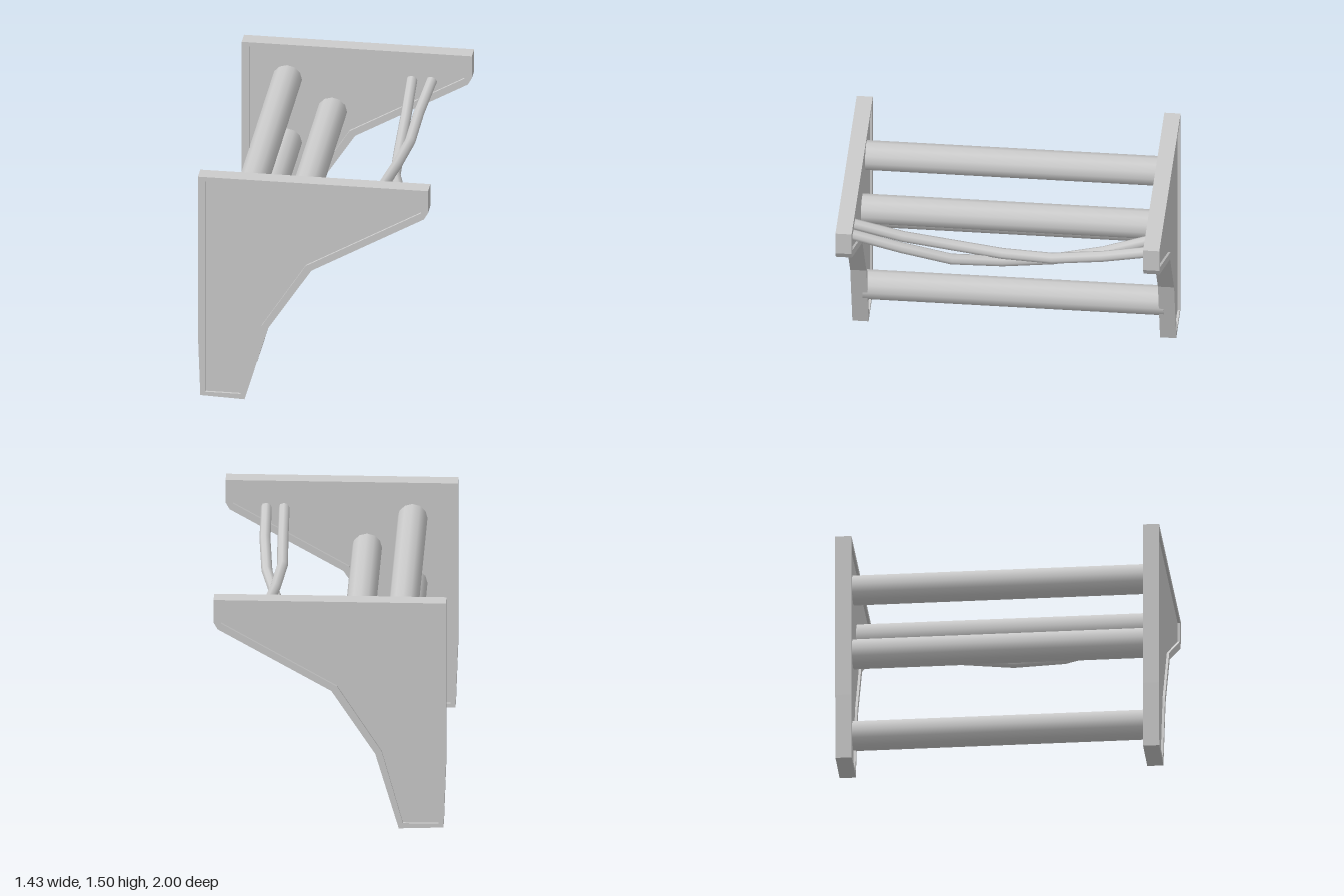
import * as THREE from 'three';

const material = new THREE.MeshStandardMaterial({ color: 0xcccccc });

// Outline of a side plate and of its sunken panel
const OUTER = [[-0.715, 1.505], [-0.715, 0.43], [-0.7, 0.01], [-0.425, 0], [-0.28, 0.495],
  [-0.01, 0.91], [0.69, 1.31], [0.715, 1.355], [0.715, 1.505]];
const INNER = [[-0.67, 1.475], [-0.67, 0.035], [-0.45, 0.035], [-0.32, 0.51],
  [-0.045, 0.94], [0.67, 1.35], [0.67, 1.475]];

const toPoints = (list) => list.map(([x, y]) => new THREE.Vector2(x, y));

function addMesh(parent, name, geometry) {
  const mesh = new THREE.Mesh(geometry, material);
  mesh.name = name;
  parent.add(mesh);
  return mesh;
}

function slab(shape, depth) {
  const geometry = new THREE.ExtrudeGeometry(shape, { depth, bevelEnabled: false });
  return geometry.translate(0, 0, -depth / 2);
}

// Raised rim around a panel that is sunken on both faces
function sidePlate(name, z) {
  const plate = new THREE.Group();
  plate.name = name;
  const rim = new THREE.Shape(toPoints(OUTER));
  rim.holes.push(new THREE.Path(toPoints(INNER)));
  addMesh(plate, 'rim', slab(rim, 0.1));
  addMesh(plate, 'panel', slab(new THREE.Shape(toPoints(INNER)), 0.07));
  plate.position.z = z;
  return plate;
}

// Sagging cord through points spaced along z
function cord(points) {
  const curve = new THREE.CatmullRomCurve3(points.map((p) => new THREE.Vector3(...p)));
  return new THREE.TubeGeometry(curve, 6, 0.034, 8, false);
}

export function createModel() {
  const model = new THREE.Group();
  model.name = 'rack';

  model.add(sidePlate('frontPlate', 0.95), sidePlate('backPlate', -0.95));

  // Cross bars: three along the back edge, one further in
  const bars = [[-0.435, 1.265], [-0.435, 0.832], [-0.435, 0.277], [-0.155, 1.063]];
  bars.forEach(([x, y], i) => {
    const bar = addMesh(model, `crossBar${i + 1}`, new THREE.CylinderGeometry(0.0925, 0.0925, 1.86, 12));
    bar.rotation.x = Math.PI / 2;
    bar.position.set(x, y, 0);
  });

  // Two cords that cross over each other in the middle
  addMesh(model, 'lowerCord', cord([
    [0.34, 1.31, -0.92], [0.345, 1.21, -0.64], [0.35, 1.137, -0.34], [0.363, 1.107, -0.03],
    [0.433, 1.147, 0.28], [0.46, 1.23, 0.59], [0.465, 1.32, 0.92]]));
  addMesh(model, 'upperCord', cord([
    [0.463, 1.31, -0.92], [0.425, 1.23, -0.64], [0.417, 1.187, -0.34], [0.378, 1.17, -0.03],
    [0.343, 1.187, 0.28], [0.35, 1.235, 0.59], [0.355, 1.32, 0.92]]));

  return model;
}
